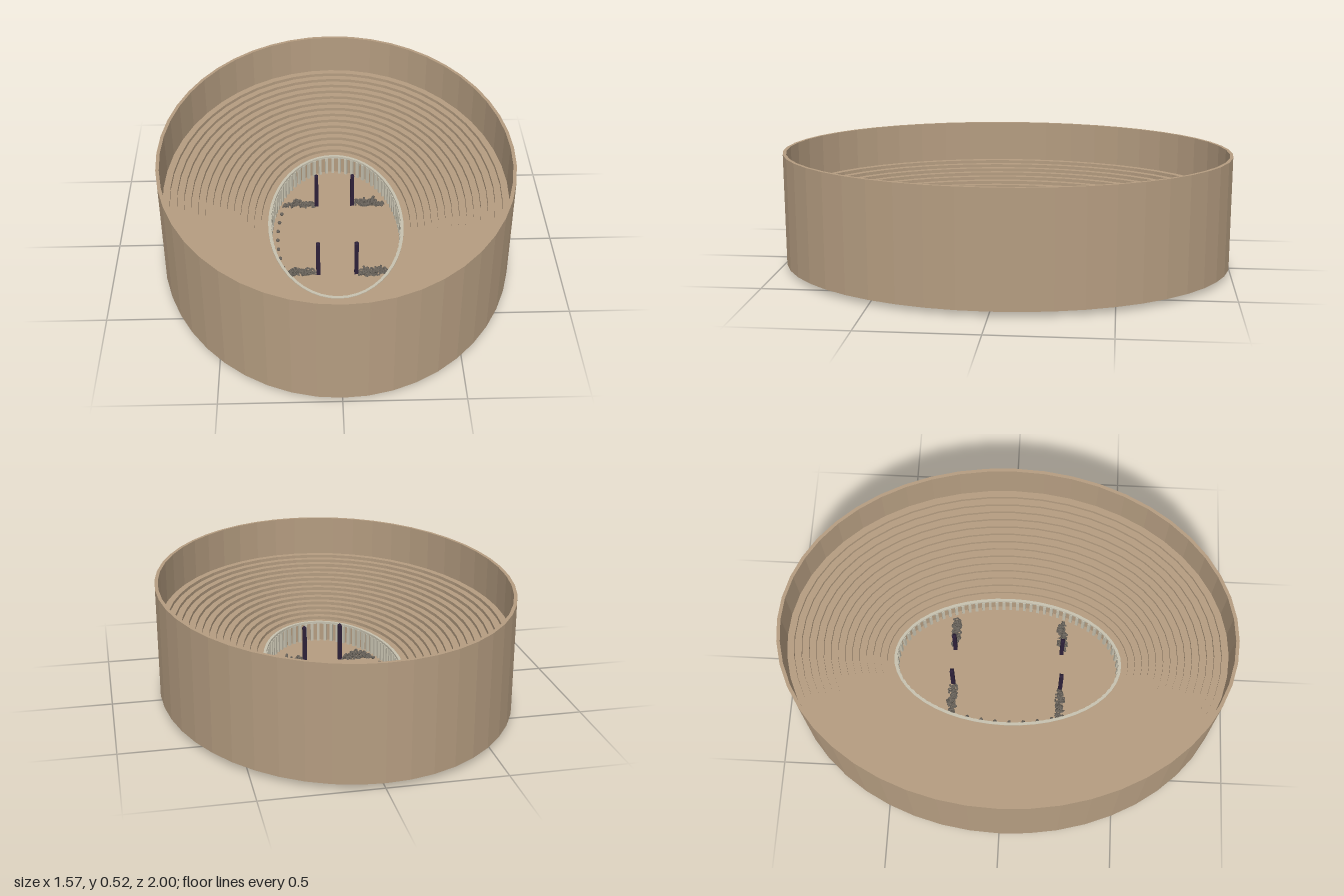
import * as THREE from 'three';

const SEG = 48;
const RX = 0.785, RZ = 1, BASE = 0.03, TOP = 0.53;

const mat = (name, color, flat = true) => {
  const m = new THREE.MeshStandardMaterial({ color, flatShading: flat });
  m.name = name;
  return m;
};

// Sweeps a profile of [inset, y] points around the ellipse; inset null means the centre.
function ellipseSweep(profile, seg = SEG) {
  const pos = [];
  const point = ([d, y], k) => {
    const a = (k / seg) * Math.PI * 2;
    return d === null ? [0, y, 0] : [(RX - d) * Math.sin(a), y, (RZ - d) * Math.cos(a)];
  };
  for (let i = 0; i < profile.length - 1; i++) {
    const [lo, hi] = [profile[i], profile[i + 1]];
    for (let k = 0; k < seg; k++) {
      const a = point(lo, k), b = point(lo, k + 1), c = point(hi, k + 1), d = point(hi, k);
      if (lo[0] !== null) pos.push(...a, ...b, ...c);
      if (hi[0] !== null) pos.push(...a, ...c, ...d);
    }
  }
  const g = new THREE.BufferGeometry();
  g.setAttribute('position', new THREE.Float32BufferAttribute(pos, 3));
  g.computeVertexNormals();
  return g;
}

export function createModel() {
  const model = new THREE.Group();
  model.name = 'arena';
  const stone = mat('sandstone', 0xb49c80);
  const pale = mat('pale stone', 0xc6c1af);
  const iron = mat('dark iron', 0x68625a);
  const purple = mat('dark purple', 0x2c2038);

  const add = (parent, name, geo, material, x = 0, y = 0, z = 0) => {
    const m = new THREE.Mesh(geo, material);
    m.name = name;
    m.position.set(x, y, z);
    parent.add(m);
    return m;
  };

  let seed = 7;
  const rnd = () => (seed = (seed * 16807) % 2147483647) / 2147483647;

  // Outer wall with its thin rim
  const lip = 0.015, seatTop = 0.34, podium = 0.13, inner = 0.475, steps = 15;
  add(model, 'outerWall', ellipseSweep([
    [null, BASE], [0, BASE], [0, TOP], [lip, TOP], [lip, seatTop],
  ]), stone);

  // Tiers of seating stepping down to the podium wall
  const tiers = [];
  for (let i = 0; i < steps; i++) {
    const y = seatTop - ((seatTop - podium) * i) / (steps - 1);
    tiers.push([lip + ((inner - lip) * i) / steps, y], [lip + ((inner - lip) * (i + 1)) / steps, y]);
  }
  tiers.push([inner, BASE + 0.004]);
  add(model, 'seatingTiers', ellipseSweep(tiers), stone);
  add(model, 'arenaFloor', ellipseSweep([[inner, BASE + 0.004], [null, BASE + 0.004]]), stone);

  // Fence around the arena floor: a cap rail and evenly spaced posts
  const fence = new THREE.Group();
  fence.name = 'fence';
  model.add(fence);
  add(fence, 'fenceRail', ellipseSweep([
    [inner + 0.013, 0.122], [inner, 0.122], [inner, 0.133], [inner + 0.013, 0.133], [inner + 0.013, 0.122],
  ]), pale);
  const postGeo = new THREE.BoxGeometry(0.013, 0.096, 0.012);
  const fx = RX - inner - 0.011, fz = RZ - inner - 0.011, count = 80;
  // Spacing follows the length of the ellipse
  const path = new THREE.EllipseCurve(0, 0, fx, fz, 0, Math.PI * 2);
  path.arcLengthDivisions = 800;
  for (let i = 0; i < count; i++) {
    const p = path.getPointAt(i / count);
    const post = add(fence, 'fencePost', postGeo, pale, p.x, 0.076, p.y);
    post.rotation.y = Math.atan2(p.x / (fx * fx), p.y / (fz * fz));
  }

  // Four chaining posts, each with a heap of chain lying outward from it
  const poleGeo = new THREE.BoxGeometry(0.018, 0.18, 0.018);
  const capGeo = new THREE.ConeGeometry(0.013, 0.012, 4);
  const linkGeo = new THREE.TorusGeometry(0.012, 0.0045, 5, 8);
  const lumpGeo = new THREE.DodecahedronGeometry(0.009);
  for (const sx of [-1, 1]) {
    for (const sz of [-1, 1]) {
      const station = new THREE.Group();
      station.name = 'chainStation';
      station.position.set(sx * 0.085, 0, sz * 0.25);
      model.add(station);
      add(station, 'pole', poleGeo, purple, 0, 0.115, 0);
      add(station, 'poleTip', capGeo, purple, 0, 0.211, 0).rotation.y = Math.PI / 4;
      for (let i = 0; i < 30; i++) {
        const t = i / 29;
        const y = 0.024 + rnd() * 0.04 * Math.sin(Math.PI * (0.15 + 0.8 * t));
        const link = add(station, 'chainLink', linkGeo, iron,
          sx * (0.015 + t * 0.135), y, (rnd() - 0.5) * 0.026);
        link.rotation.set(rnd() * 3, rnd() * 3, rnd() * 3);
        if (i % 2) {
          const lump = add(station, 'chainLump', lumpGeo, iron,
            sx * (0.03 + t * 0.12), 0.02 + rnd() * 0.03, (rnd() - 0.5) * 0.03);
          lump.rotation.set(rnd() * 3, rnd() * 3, 0);
        }
      }
    }
  }

  // Small loose stones along one side of the floor
  for (let i = 0; i < 8; i++) {
    const z = -0.24 + i * 0.065;
    const x = -0.268 * Math.sqrt(1 - (z / 0.5) ** 2);
    add(model, 'looseStone', lumpGeo, iron, x, 0.042, z).rotation.y = rnd() * 3;
  }
  return model;
}
